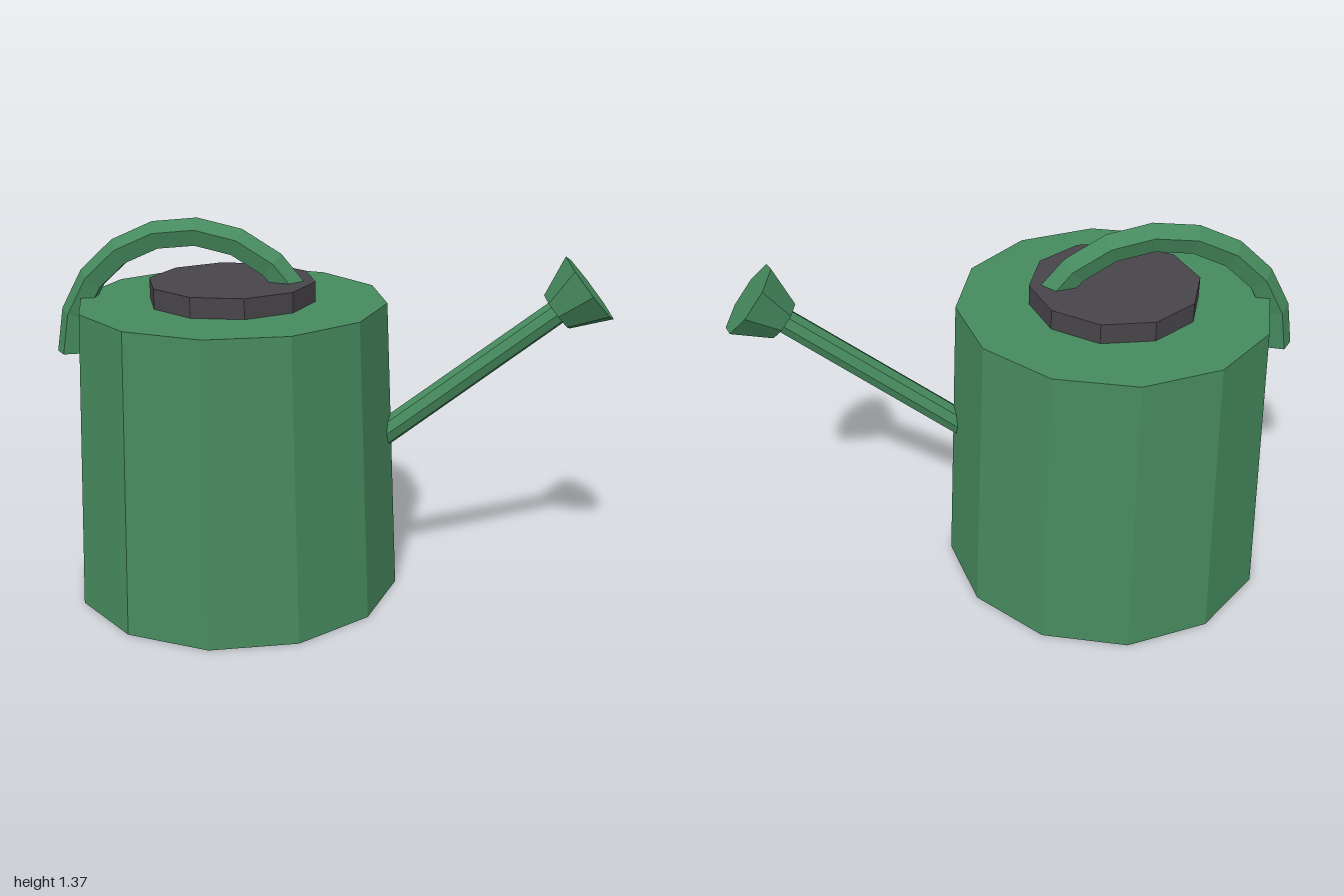
import * as THREE from 'three';

const green = new THREE.MeshStandardMaterial({ color: 0x468a5e, flatShading: true });
green.name = 'green enamel';
const dark = new THREE.MeshStandardMaterial({ color: 0x48454a, flatShading: true });
dark.name = 'dark lid';

function add(parent, name, geometry, material, x, y) {
  const mesh = new THREE.Mesh(geometry, material);
  mesh.name = name;
  mesh.position.set(x, y, 0);
  parent.add(mesh);
  return mesh;
}

// Tapered prism whose axis runs between two points in the x-y plane
function rod(parent, name, from, to, r0, r1, sides) {
  const dx = to[0] - from[0], dy = to[1] - from[1];
  const mesh = add(parent, name, new THREE.CylinderGeometry(r1, r0, Math.hypot(dx, dy), sides),
    green, (from[0] + to[0]) / 2, (from[1] + to[1]) / 2);
  mesh.rotation.z = Math.atan2(dy, dx) - Math.PI / 2;
  return mesh;
}

export function createModel() {
  const can = new THREE.Group();
  can.name = 'wateringCan';
  const bodyX = -0.345;

  // Twelve-sided body and ten-sided lid
  add(can, 'body', new THREE.CylinderGeometry(0.555, 0.6, 1.08, 12), green, bodyX, 0.54);
  add(can, 'lid', new THREE.CylinderGeometry(0.3, 0.3, 0.08, 10, 1, false, Math.PI / 2), dark, bodyX, 1.112);

  // Arched handle from the back of the body into the lid
  const R = 0.45, tube = 0.0525;
  const handle = new THREE.Group();
  handle.name = 'handle';
  handle.position.set(-0.497, 0.87, 0);
  can.add(handle);
  const arch = add(handle, 'handleArch', new THREE.TorusGeometry(R, tube, 5, 8, Math.PI * 5 / 6), green, 0, 0);
  arch.rotation.z = Math.PI / 6;
  const cap = new THREE.CircleGeometry(tube, 5).rotateX(Math.PI / 2).rotateY(Math.PI);
  add(handle, 'handleEnd', cap, green, -R, 0);

  // Slanted spout with a flared rose
  rod(can, 'spout', [0.12, 0.528], [0.815, 1.074], 0.047, 0.044, 8);
  rod(can, 'rose', [0.802, 1.064], [0.91, 1.152], 0.075, 0.14, 8);

  return can;
}
